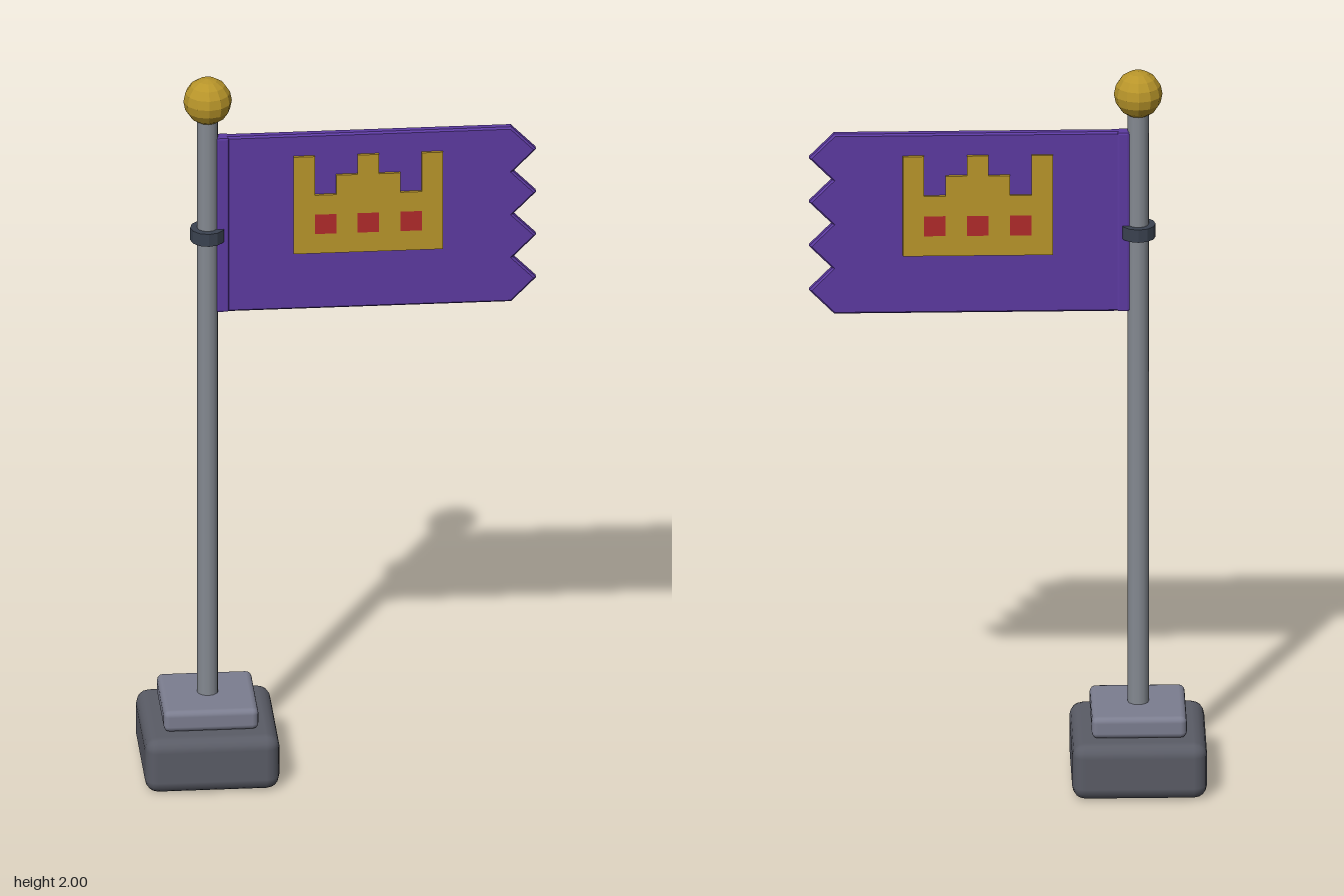
import * as THREE from 'three';
import { RoundedBoxGeometry } from 'three/addons/geometries/RoundedBoxGeometry.js';

const POLE_X = -0.345;

export function createModel() {
  const root = new THREE.Group();
  root.name = 'flagOnPole';

  const paint = (color, flatShading = false) => {
    const m = new THREE.MeshStandardMaterial({ color });
    m.flatShading = flatShading;
    return m;
  };
  const purple = paint(0x5c3aa0, true);
  const gold = paint(0xb8952a, true);
  const red = paint(0xb02a2a, true);

  const add = (name, geometry, material, x, y, z = 0) => {
    const mesh = new THREE.Mesh(geometry, material);
    mesh.name = name;
    mesh.position.set(x, y, z);
    root.add(mesh);
    return mesh;
  };

  // Stepped base
  add('base', new RoundedBoxGeometry(0.355, 0.155, 0.355, 2, 0.035), paint(0x5a5c66), POLE_X, 0.0775);
  add('basePlate', new RoundedBoxGeometry(0.25, 0.06, 0.25, 2, 0.016), paint(0x7c7e90), POLE_X, 0.186);

  // Pole, collar and ball
  add('pole', new THREE.CylinderGeometry(0.028, 0.028, 1.73, 12), paint(0x858a92), POLE_X, 1.045);
  add('collar', new THREE.CylinderGeometry(0.046, 0.046, 0.036, 12), paint(0x3a4250, true), POLE_X, 1.55);
  add('finial', new THREE.SphereGeometry(0.064, 12, 8), paint(0xb8952a, true), POLE_X, 1.936);

  // Sleeve holding the cloth to the pole
  add('flagSleeve', new RoundedBoxGeometry(0.034, 0.508, 0.034, 1, 0.006), purple, -0.306, 1.579);

  // Cloth with a zigzag free edge
  const bevel = 0.005, top = 1.833, bottom = 1.325, teeth = 4;
  const cloth = new THREE.Shape();
  cloth.moveTo(-0.3, bottom + bevel);
  for (let i = 0; i <= teeth * 2; i++) {
    const y = THREE.MathUtils.lerp(bottom + bevel, top - bevel, i / (teeth * 2));
    cloth.lineTo(i % 2 ? 0.514 : 0.453, y);
  }
  cloth.lineTo(-0.3, top - bevel);
  cloth.closePath();
  const clothGeometry = new THREE.ExtrudeGeometry(cloth, {
    depth: 0.016, bevelEnabled: true, bevelSize: bevel, bevelThickness: bevel, bevelSegments: 1,
  });
  add('flagCloth', clothGeometry, purple, 0, 0, -0.008);

  // Crown emblem on a square grid, standing proud on both faces
  const cell = 0.0564, left = -0.12, low = 1.49;
  const heights = [5, 3, 4, 5, 4, 3, 5];
  const crown = new THREE.Shape();
  crown.moveTo(0, 0);
  crown.lineTo(7 * cell, 0);
  for (let c = 6; c >= 0; c--) {
    crown.lineTo((c + 1) * cell, heights[c] * cell);
    crown.lineTo(c * cell, heights[c] * cell);
  }
  crown.closePath();
  for (const c of [1, 3, 5]) {
    const hole = new THREE.Path();
    hole.moveTo(c * cell, cell);
    hole.lineTo(c * cell, 2 * cell);
    hole.lineTo((c + 1) * cell, 2 * cell);
    hole.lineTo((c + 1) * cell, cell);
    hole.closePath();
    crown.holes.push(hole);

    // Red jewel filling each opening
    add('crownJewel', new THREE.BoxGeometry(cell, cell, 0.042), red,
      left + (c + 0.5) * cell, low + 1.5 * cell);
  }
  const crownGeometry = new THREE.ExtrudeGeometry(crown, { depth: 0.042, bevelEnabled: false });
  add('crownEmblem', crownGeometry, gold, left, low, -0.021);

  return root;
}
